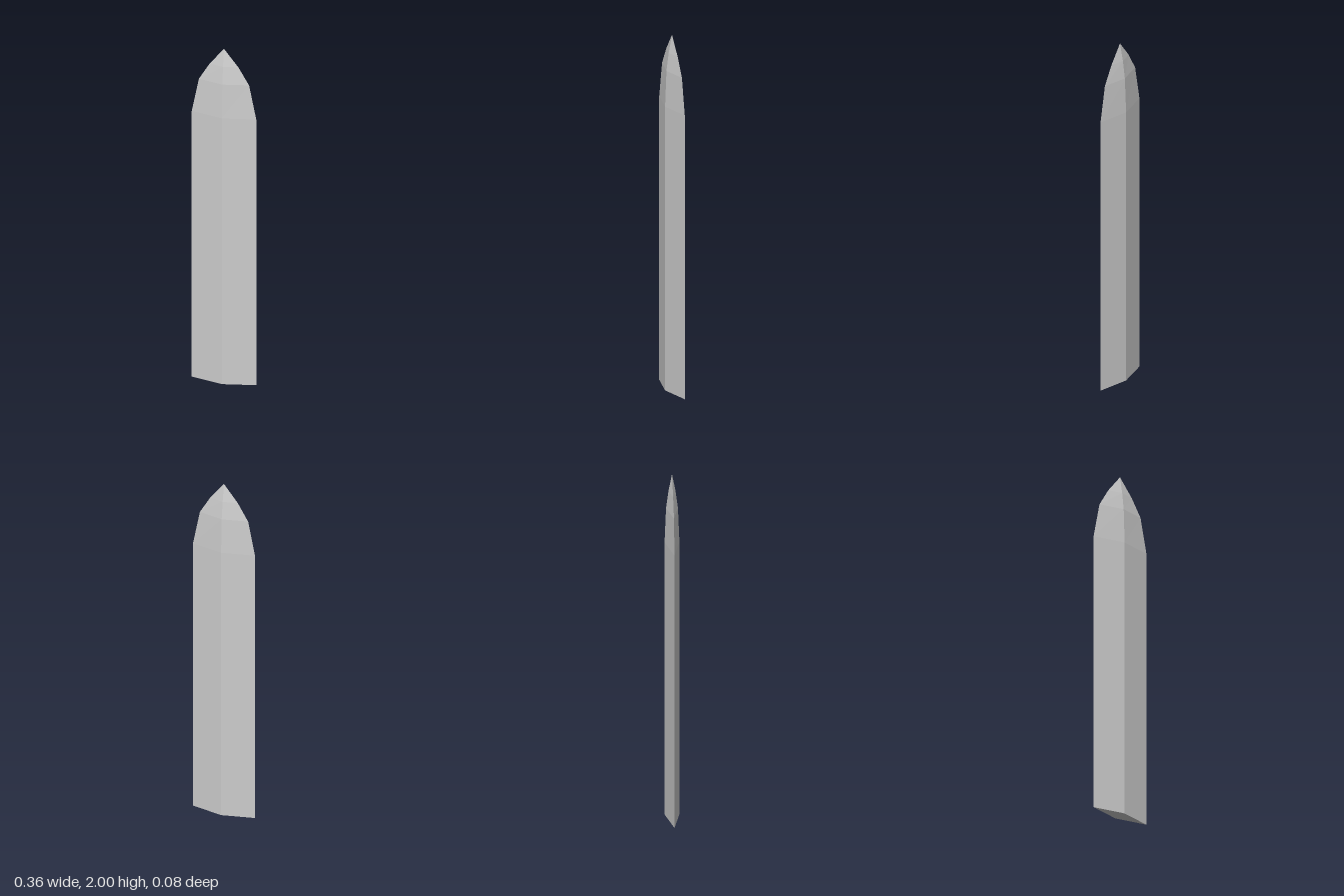
import * as THREE from 'three';

// Diamond cross-sections from base to point: [height, half width, half depth]
const sections = [
  [0, 0.18, 0.04],
  [1.6, 0.18, 0.04],
  [1.8, 0.14, 0.032],
  [1.9, 0.08, 0.019],
  [2, 0, 0],
];

function createBladeGeometry() {
  const positions = [];
  const indices = [];
  // Four corners per section: front ridge, left edge, back ridge, right edge
  for (const [y, w, d] of sections) {
    positions.push(0, y, d, w, y, 0, 0, y, -d, -w, y, 0);
  }
  // Facets between neighbouring sections, closing in triangles at the point
  for (let s = 0; s < sections.length - 1; s++) {
    for (let i = 0; i < 4; i++) {
      const a = s * 4 + i;
      const b = s * 4 + (i + 1) % 4;
      indices.push(a, b, b + 4);
      if (s < sections.length - 2) indices.push(a, b + 4, a + 4);
    }
  }
  // Flat base
  indices.push(0, 2, 1, 0, 3, 2);

  const indexed = new THREE.BufferGeometry();
  indexed.setAttribute('position', new THREE.Float32BufferAttribute(positions, 3));
  indexed.setIndex(indices);
  const geometry = indexed.toNonIndexed();
  geometry.computeVertexNormals();
  return geometry;
}

export function createModel() {
  const group = new THREE.Group();
  group.name = 'bladeModel';
  const material = new THREE.MeshStandardMaterial({ color: 0xcccccc, flatShading: true });
  const blade = new THREE.Mesh(createBladeGeometry(), material);
  blade.name = 'blade';
  group.add(blade);
  return group;
}
